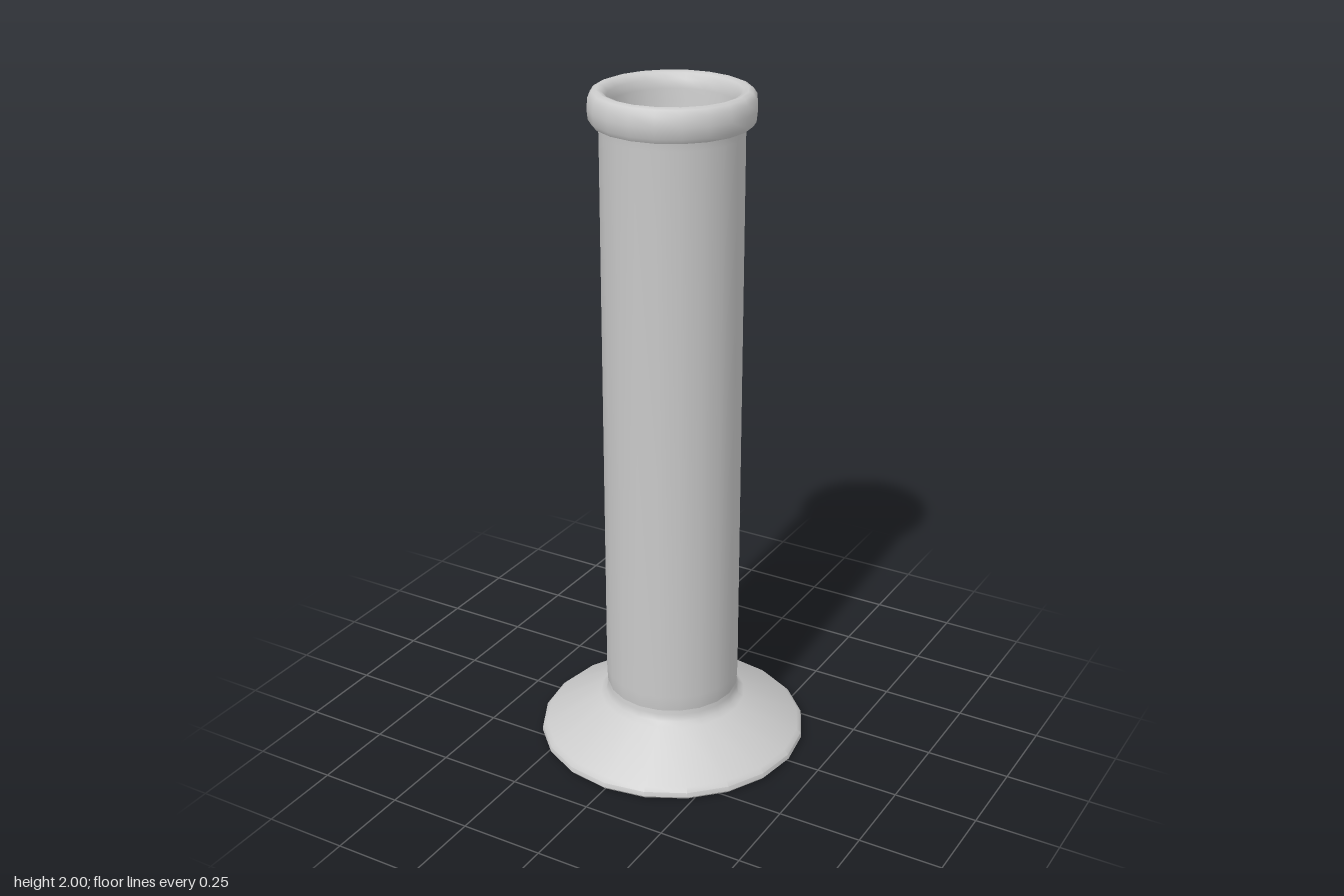
import * as THREE from 'three';
import { toCreasedNormals } from 'three/addons/utils/BufferGeometryUtils.js';

const SIDES = 20;

// Turns [radius, height] pairs around the y axis, smooth except at sharp edges
function turned(name, profile, color = 0xcccccc) {
  const points = profile.map(([r, y]) => new THREE.Vector2(r, y));
  const geometry = toCreasedNormals(new THREE.LatheGeometry(points, SIDES), 0.7);
  const mesh = new THREE.Mesh(geometry, new THREE.MeshStandardMaterial({ color }));
  mesh.name = name;
  return mesh;
}

export function createModel() {
  const group = new THREE.Group();
  group.name = 'measuringCylinder';

  // Flared foot with a hollow underside
  group.add(turned('foot', [
    [0, 0.08], [0.07, 0.077], [0.13, 0.06], [0.19, 0.042], [0.385, 0.002],
    [0.395, 0], [0.402, 0.008], [0.4, 0.022], [0.387, 0.034],
    [0.22, 0.128], [0.204, 0.14], [0.198, 0.16], [0.195, 0.2],
  ]));

  // Tube: outer wall, rolled lip, inner wall and floor
  group.add(turned('tube', [
    [0.19, 0.13], [0.198, 0.18], [0.2, 0.22], [0.2, 1.88], [0.203, 1.905],
    [0.22, 1.907], [0.228, 1.92], [0.231, 1.95], [0.228, 1.98], [0.218, 1.995],
    [0.205, 2], [0.19, 1.995], [0.179, 1.98], [0.174, 1.955],
    [0.174, 1.92], [0.167, 1.88], [0.165, 1.84],
    [0.163, 0.22], [0.15, 0.17], [0.12, 0.15], [0, 0.14],
  ]));

  // Liquid standing in the tube
  group.add(turned('liquid', [
    [0, 0.15], [0.12, 0.16], [0.148, 0.18], [0.16, 0.23], [0.16, 1.2], [0, 1.2],
  ], 0x68b4c8));

  return group;
}
